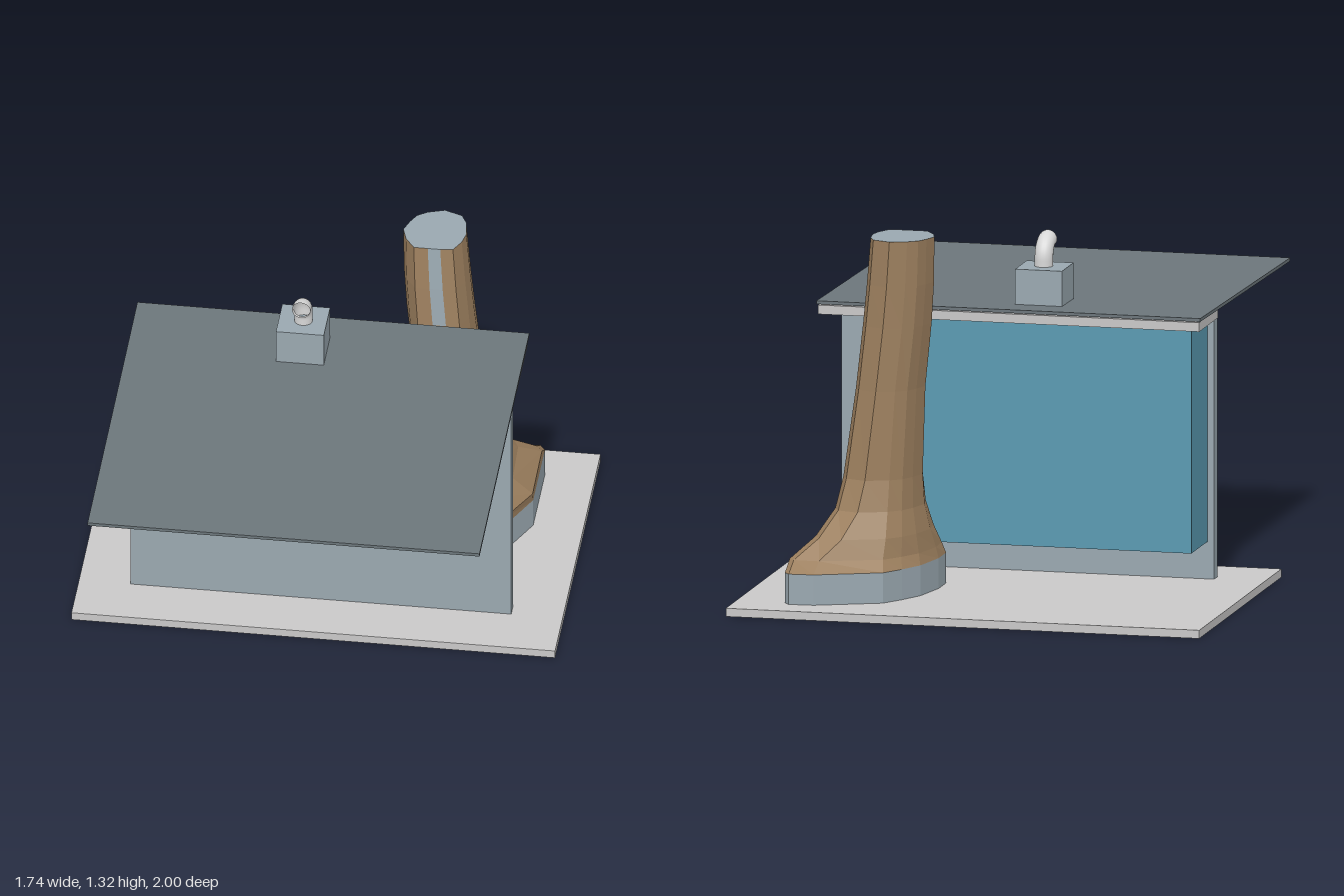
import * as THREE from 'three';

const mat = (name, color, extra = {}) => {
  const m = new THREE.MeshStandardMaterial({ color, ...extra });
  m.name = name;
  return m;
};

// Trunk outlines as [x, z], matched point for point
const ROOT = [[.225, -.34], [.225, -.45], [.255, -.6], [.30, -.69], [.35, -.77], [.58, -.87], [.67, -.875],
  [.69, -.85], [.69, -.54], [.59, -.33], [.50, -.27], [.43, -.265], [.36, -.265], [.28, -.27]];
const TOP = [[.245, -.445], [.228, -.50], [.245, -.55], [.265, -.59], [.30, -.615], [.36, -.635], [.425, -.61],
  [.445, -.57], [.455, -.50], [.445, -.45], [.42, -.40], [.375, -.395], [.33, -.395], [.28, -.395]];

// Trunk levels: y, xMin, xMax, zMin, zMax, blend from root outline to top outline
const LEVELS = [
  [.14, .225, .69, -.875, -.265, 0],
  [.18, .235, .69, -.82, -.28, .1],
  [.25, .25, .62, -.765, -.31, .4],
  [.34, .27, .57, -.70, -.33, .7],
  [.45, .275, .55, -.665, -.355, .85],
  [.77, .265, .51, -.645, -.36, 1],
  [1.0, .242, .485, -.637, -.367, 1],
  [1.15, .232, .47, -.635, -.378, 1],
  [1.315, .228, .455, -.635, -.395, 1],
];
const SLIT = 11; // outline segment that carries the pale slit

const normalize = (pts) => {
  const xs = pts.map((p) => p[0]), zs = pts.map((p) => p[1]);
  const x0 = Math.min(...xs), x1 = Math.max(...xs), z0 = Math.min(...zs), z1 = Math.max(...zs);
  return pts.map(([x, z]) => [(x - x0) / (x1 - x0), (z - z0) / (z1 - z0)]);
};

// Flat-faceted geometry from a list of triangles
const fromTriangles = (tris) => {
  const g = new THREE.BufferGeometry();
  g.setAttribute('position', new THREE.Float32BufferAttribute(tris.flat(2), 3));
  g.computeVertexNormals();
  return g;
};

const capTriangles = (ring) => {
  const c = [0, 1, 2].map((k) => ring.reduce((s, p) => s + p[k], 0) / ring.length);
  return ring.map((p, i) => [c, ring[(i + 1) % ring.length], p]);
};

const wallQuad = (low, high, i) => {
  const j = (i + 1) % low.length;
  return [[low[i], high[j], low[j]], [low[i], high[i], high[j]]];
};

export function createModel() {
  const model = new THREE.Group();
  const pale = mat('paleGrey', 0xc9c8c8);
  const blueGrey = mat('blueGrey', 0x9aa8b0);
  const slate = mat('slate', 0x6c767b);
  const blue = mat('tealBlue', 0x5a9ab2);
  const bark = mat('barkBrown', 0x9c7f5e);
  const pipeMat = mat('pipeGrey', 0xd8d8d8, { side: THREE.DoubleSide });

  const add = (name, geometry, material) => {
    const mesh = new THREE.Mesh(geometry, material);
    mesh.name = name;
    model.add(mesh);
    return mesh;
  };
  // Box given by its limits on each axis
  const box = (name, [x0, x1], [y0, y1], [z0, z1], material) => {
    const g = new THREE.BoxGeometry(x1 - x0, y1 - y0, z1 - z0);
    g.translate((x0 + x1) / 2, (y0 + y1) / 2, (z0 + z1) / 2);
    return add(name, g, material);
  };

  box('basePlate', [-.87, .87], [0, .03], [-1, .21], pale);
  box('frontWall', [-.685, .685], [.03, 1.01], [-.04, .008], blueGrey);
  box('cabinet', [-.66, .43], [.165, .98], [-.265, -.04], blue);
  box('cabinetDoor', [-.66, .43], [.165, .98], [-.275, -.267], blue);
  box('roofSlab', [-.7, .7], [.98, 1.013], [-.32, -.04], pale);

  // Thin roof sheet, sloping down toward the front
  const roof = box('roofSheet', [-.705, .705], [-.006, .006], [-.325, 1], slate);
  const rp = roof.geometry.attributes.position;
  for (let i = 0; i < rp.count; i++) rp.setY(i, rp.getY(i) + 1.0 + (1 - rp.getZ(i)) * .0175);
  roof.geometry.computeVertexNormals();

  // Vent box with a bent, open pipe
  box('ventBox', [-.168, .004], [1.015, 1.155], [-.21, -.04], blueGrey);
  const bend = new THREE.CurvePath();
  bend.add(new THREE.LineCurve3(new THREE.Vector3(-.08, 1.15, -.123), new THREE.Vector3(-.08, 1.178, -.123)));
  bend.add(new THREE.CubicBezierCurve3(
    new THREE.Vector3(-.08, 1.178, -.123), new THREE.Vector3(-.08, 1.214, -.123),
    new THREE.Vector3(-.08, 1.242, -.096), new THREE.Vector3(-.08, 1.242, -.06)));
  add('ventPipe', new THREE.TubeGeometry(bend, 20, .033, 20), pipeMat);

  // Trunk: blended outlines stacked level by level
  const a = normalize(ROOT), b = normalize(TOP);
  const rings = LEVELS.map(([y, x0, x1, z0, z1, s]) => a.map((p, i) => [
    x0 + (x1 - x0) * (p[0] + (b[i][0] - p[0]) * s), y,
    z0 + (z1 - z0) * (p[1] + (b[i][1] - p[1]) * s)]));
  const barkTris = [], slitTris = [];
  for (let l = 0; l < rings.length - 1; l++) {
    for (let i = 0; i < a.length; i++) {
      const isSlit = i === SLIT && LEVELS[l][0] >= 1;
      (isSlit ? slitTris : barkTris).push(...wallQuad(rings[l], rings[l + 1], i));
    }
  }
  add('trunk', fromTriangles(barkTris), bark);
  add('trunkSlit', fromTriangles(slitTris), blueGrey);
  add('trunkTop', fromTriangles(capTriangles(rings[rings.length - 1])), blueGrey);

  // Plinth under the trunk
  const foot = rings[0].map(([x, , z]) => [x, .03, z]);
  add('trunkPlinth', fromTriangles(foot.flatMap((_, i) => wallQuad(foot, rings[0], i))), blueGrey);

  return model;
}
